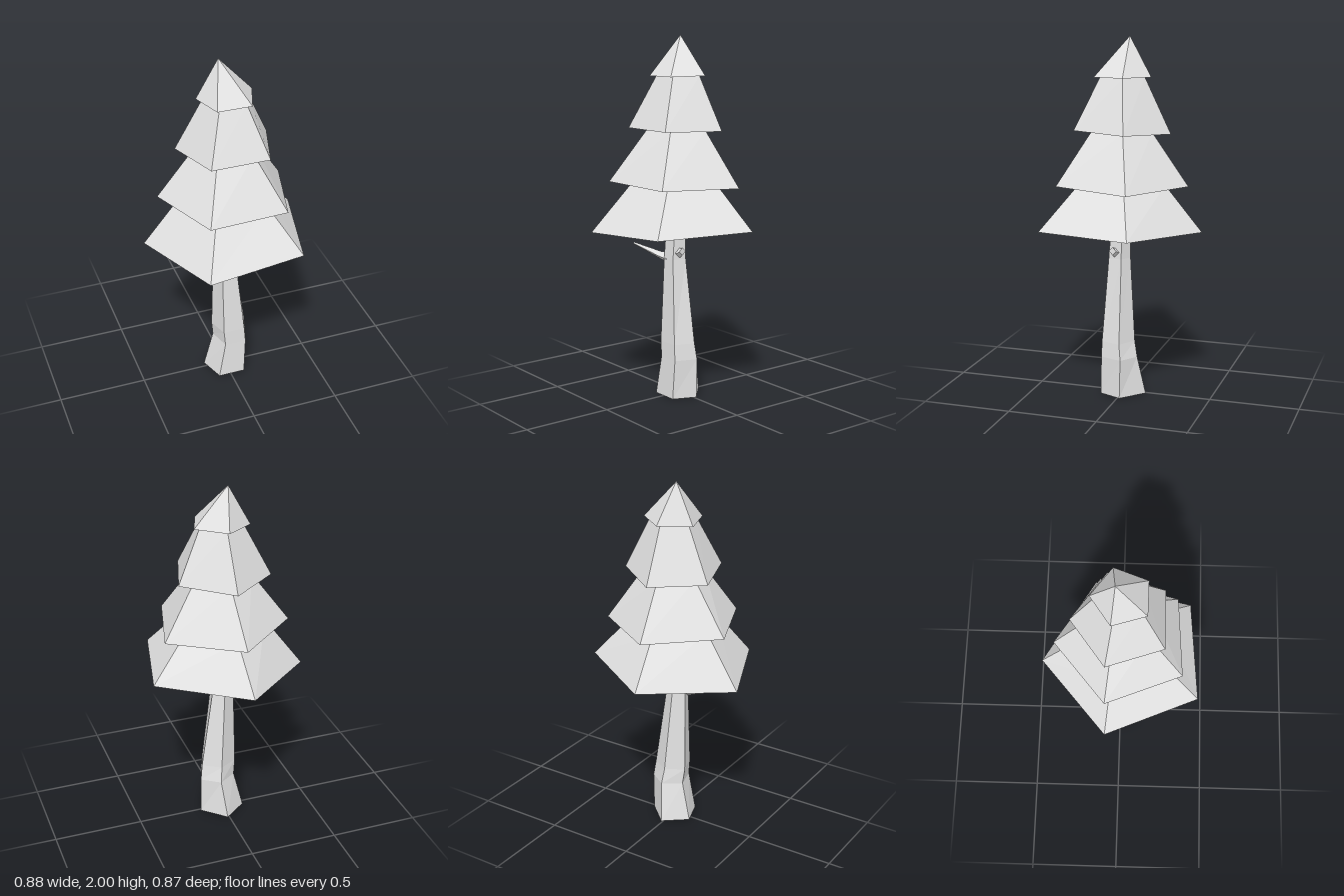
import * as THREE from 'three';

const grey = new THREE.MeshStandardMaterial({ color: 0xe3e3e3 });
grey.name = 'pale grey';

const SAME = 1e-6;
const distance = (a, b) => Math.hypot(a[0] - b[0], a[1] - b[1], a[2] - b[2]);
const centre = (ring) => [0, 1, 2].map((i) => ring.reduce((s, p) => s + p[i], 0) / ring.length);
const shrink = (ring, k) => {
  const c = centre(ring);
  return ring.map((p) => p.map((v, i) => c[i] + (v - c[i]) * k));
};
const collapse = (ring) => shrink(ring, 0);

// Flat-shaded skin over a stack of rings, leaving out collapsed triangles.
function loft(name, rings) {
  const out = [];
  const triangle = (a, b, c) => {
    if (distance(a, b) > SAME && distance(b, c) > SAME && distance(c, a) > SAME) out.push(...a, ...b, ...c);
  };
  for (let i = 0; i + 1 < rings.length; i++) {
    const low = rings[i], high = rings[i + 1], n = low.length;
    for (let j = 0; j < n; j++) {
      const k = (j + 1) % n;
      triangle(low[k], low[j], high[j]);
      triangle(low[k], high[j], high[k]);
    }
  }
  const geometry = new THREE.BufferGeometry();
  geometry.setAttribute('position', new THREE.Float32BufferAttribute(out, 3));
  geometry.computeVertexNormals();
  const mesh = new THREE.Mesh(geometry, grey);
  mesh.name = name;
  return mesh;
}

// Lower rim of each foliage tier: back, right, front right, front left, left.
const rims = [
  [[-0.03, 0.945, -0.435], [0.44, 0.97, -0.15], [0.315, 0.965, 0.387], [-0.23, 0.935, 0.432], [-0.443, 0.92, -0.077]],
  [[-0.015, 1.197, -0.36], [0.363, 1.197, -0.12], [0.249, 1.207, 0.308], [-0.194, 1.212, 0.335], [-0.358, 1.207, -0.077]],
  [[0.006, 1.482, -0.265], [0.268, 1.497, -0.077], [0.173, 1.503, 0.23], [-0.153, 1.503, 0.232], [-0.253, 1.487, -0.075]],
  [[0.013, 1.785, -0.156], [0.168, 1.788, -0.042], [0.103, 1.784, 0.139], [-0.087, 1.783, 0.137], [-0.142, 1.778, -0.046]],
];
const neckScale = [0.66, 0.62, 0.78];
const apex = [-0.025, 2, -0.025];

// Trunk sections, same corner order as the rims.
const trunkLevels = [
  [0, [[0.01, -0.13], [0.135, -0.013], [0.083, 0.113], [-0.07, 0.113], [-0.118, -0.03]]],
  [0.22, [[0.035, -0.087], [0.135, -0.018], [0.093, 0.105], [-0.03, 0.105], [-0.065, -0.02]]],
  [0.31, [[0.025, -0.07], [0.124, -0.008], [0.086, 0.103], [-0.038, 0.103], [-0.075, -0.012]]],
  [0.78, [[-0.005, -0.036], [0.055, 0], [0.04, 0.077], [-0.04, 0.077], [-0.068, 0]]],
  [0.99, [[-0.005, -0.03], [0.05, 0], [0.038, 0.06], [-0.038, 0.06], [-0.062, 0]]],
];

// Four-sided limb growing along x; each stop is [x, y, z, radius].
function limb(name, side, stops) {
  const rings = stops.map(([x, y, z, r]) => [
    [x, y + r, z], [x, y, z - side * r], [x, y - r, z], [x, y, z + side * r],
  ]);
  return loft(name, [collapse(rings[0]), ...rings, collapse(rings.at(-1))]);
}

export function createModel() {
  const tree = new THREE.Group();
  tree.name = 'pineTree';

  // Stacked foliage, each tier with an underside reaching the neck below it
  let inner = collapse(rims[0]);
  rims.forEach((rim, i) => {
    const top = i < 3 ? shrink(rims[i + 1], neckScale[i]) : rim.map(() => apex);
    tree.add(loft(`foliageTier${i + 1}`, [inner, rim, top]));
    inner = top;
  });

  // Bent trunk with a closed base
  const sections = trunkLevels.map(([y, ring]) => ring.map(([x, z]) => [x, y, z]));
  tree.add(loft('trunk', [collapse(sections[0]), ...sections, collapse(sections.at(-1))]));

  // Long bare branch and a broken stub
  tree.add(limb('branch', -1, [[-0.02, 0.775, 0.045, 0.034], [-0.09, 0.783, 0.06, 0.022], [-0.27, 0.83, 0.115, 0.006]]));
  tree.add(limb('branchStub', 1, [[0.02, 0.81, 0.035, 0.028], [0.062, 0.82, 0.04, 0.025], [0.08, 0.83, 0.042, 0.022]]));
  return tree;
}
